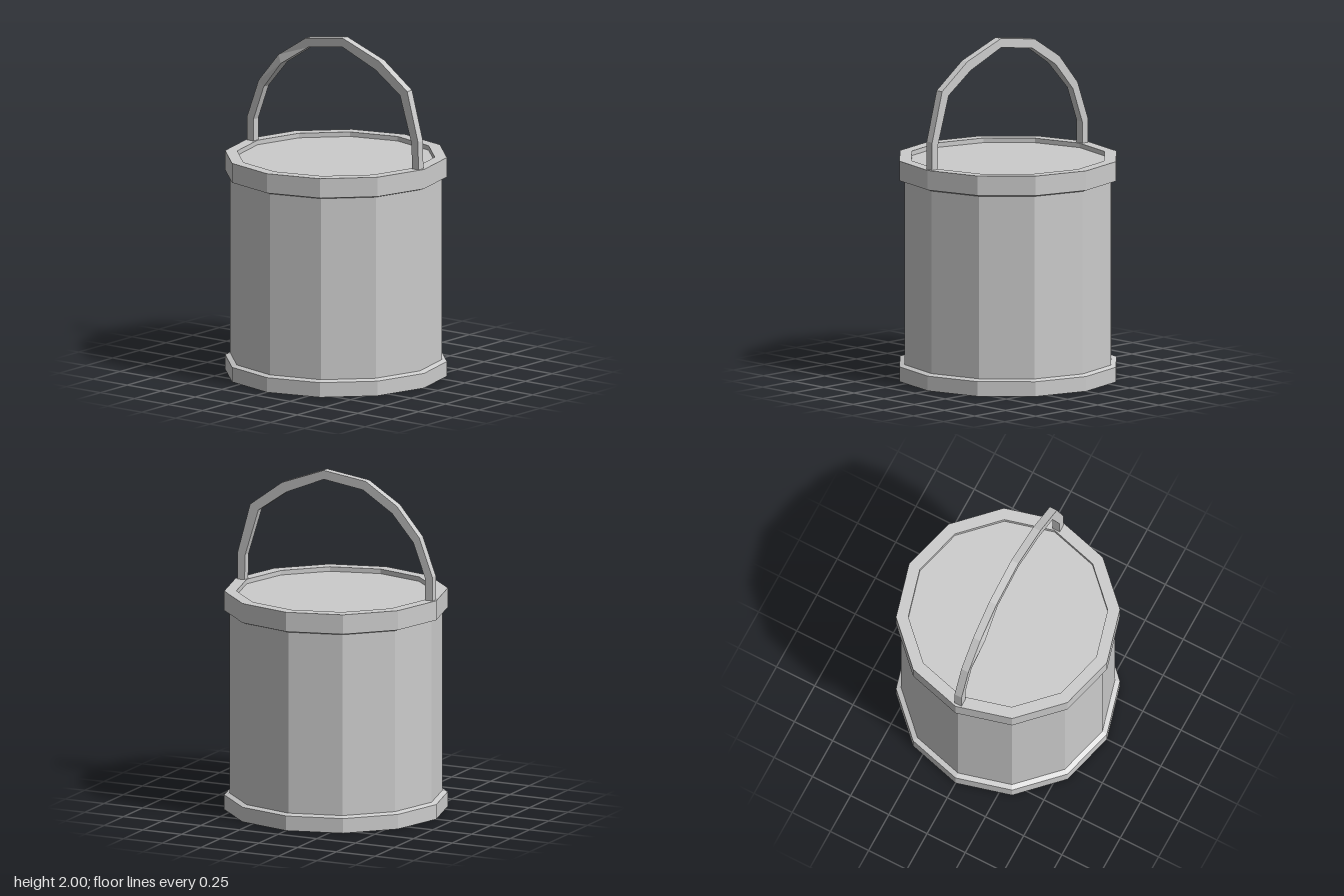
import * as THREE from 'three';

const mat = new THREE.MeshStandardMaterial({ color: 0xcccccc, flatShading: true });
const SIDES = 12;

function addLathe(group, name, profile) {
  const points = profile.map(([r, y]) => new THREE.Vector2(r, y));
  const mesh = new THREE.Mesh(new THREE.LatheGeometry(points, SIDES), mat);
  mesh.name = name;
  group.add(mesh);
}

// Bail handle: a rectangular section swept through [outer z, outer y, inner z, inner y]
function handleGeometry() {
  const stations = [
    [0.63, 1.28, 0.583, 1.28], [0.627, 1.46, 0.579, 1.445], [0.547, 1.75, 0.494, 1.72],
    [0.342, 1.9, 0.315, 1.845], [0.072, 2, 0.07, 1.947], [-0.2, 1.962, -0.182, 1.91],
    [-0.4, 1.836, -0.37, 1.79], [-0.546, 1.663, -0.508, 1.63], [-0.63, 1.438, -0.584, 1.425],
    [-0.632, 1.28, -0.584, 1.28],
  ];
  const left = 0.016, right = -0.03;
  const positions = [], index = [];
  stations.forEach(([oz, oy, iz, iy], i) => {
    const dent = i === 6 ? -0.016 : 0; // one inner corner is bent outwards
    positions.push(left, oy, oz, right, oy, oz, right + dent, iy, iz, left, iy, iz);
    if (i === 0) return;
    for (let k = 0; k < 4; k++) {
      const a = (i - 1) * 4 + k, b = (i - 1) * 4 + (k + 1) % 4;
      index.push(a, a + 4, b, b, a + 4, b + 4);
    }
  });
  // end caps
  const e = (stations.length - 1) * 4;
  index.push(0, 1, 2, 0, 2, 3, e, e + 2, e + 1, e, e + 3, e + 2);
  const geometry = new THREE.BufferGeometry();
  geometry.setAttribute('position', new THREE.Float32BufferAttribute(positions, 3));
  geometry.setIndex(index);
  geometry.computeVertexNormals();
  return geometry;
}

export function createModel() {
  const model = new THREE.Group();
  model.name = 'bucket';

  // Foot band with closed underside
  addLathe(model, 'footBand', [[0, 0], [0.648, 0], [0.648, 0.087], [0.618, 0.098]]);
  // Straight wall
  addLathe(model, 'wall', [[0.618, 0.098], [0.618, 1.172]]);
  // Rim band, stepping down inside to the lid
  addLathe(model, 'rimBand', [[0.618, 1.172], [0.648, 1.182], [0.648, 1.297], [0.577, 1.297], [0.577, 1.27]]);
  // Slightly sunken lid
  addLathe(model, 'lid', [[0.577, 1.27], [0, 1.27]]);

  const handle = new THREE.Mesh(handleGeometry(), mat);
  handle.name = 'handle';
  model.add(handle);
  return model;
}
